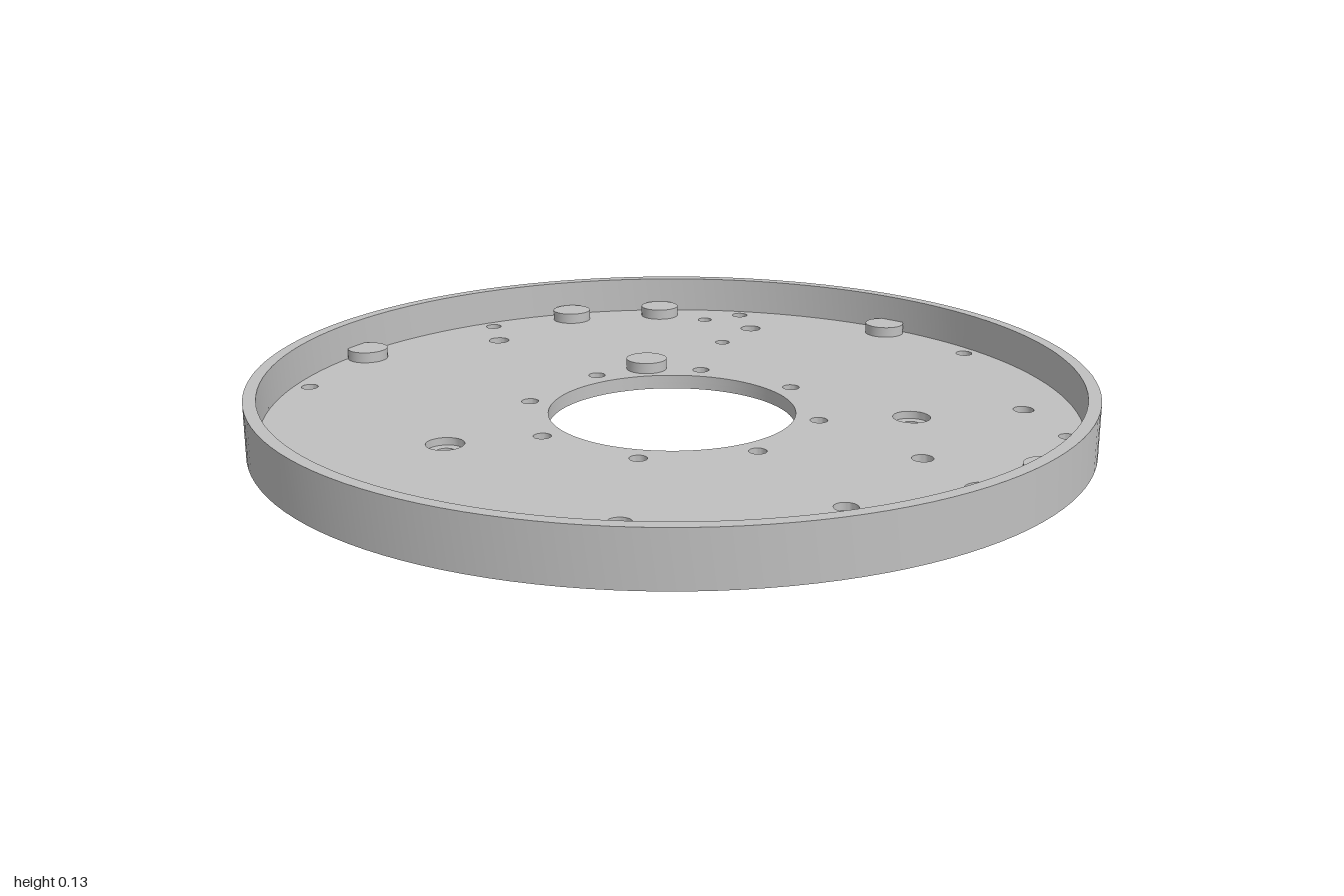
import * as THREE from 'three';
import { toCreasedNormals } from 'three/addons/utils/BufferGeometryUtils.js';

const HEIGHT = 0.128, FLOOR = 0.035, STEP = 0.017;
const OUTER = 1, INNER = 0.97, BORE = 0.297, SEGMENTS = 128;

// Points of a circle on the plate; shape y is the model's -z
function circle(x, z, r, n = 24) {
  return Array.from({ length: n }, (_, i) => {
    const a = (i / n) * Math.PI * 2;
    return new THREE.Vector2(x + r * Math.cos(a), -z + r * Math.sin(a));
  });
}

// Hole = [x, z, radius in lower layer, radius in upper layer]
function listHoles(pegs) {
  const holes = [];
  // Two rings of eight screw holes; two of the inner ones are recessed underneath
  for (let i = 0; i < 8; i++) {
    const a = ((i + 0.5) * Math.PI) / 4;
    const c = Math.cos(a), s = Math.sin(a);
    const recessed = i === 2 + 0 || i === 3;
    const isRecessed = recessed && c < 0 && s > 0;
    holes.push([0.355 * c, 0.355 * s, isRecessed ? 0.042 : 0.021, 0.021]);
    holes.push([0.93 * c, 0.93 * s, 0.021, 0.021]);
  }
  // Mirrored holes recessed from above
  for (const s of [-1, 1]) {
    holes.push([s * 0.551, 0.152, 0.022, 0.045]);
    holes.push([s * 0.551, 0.655, 0.022, 0.045]);
    holes.push([s * 0.354, -0.709, 0.02, 0.027]);
    holes.push([s * 0.235, 0.703, 0.02, 0.027]);
  }
  // Single holes
  holes.push([0.246, -0.826, 0.019, 0.019], [0.246, -0.58, 0.019, 0.019]);
  holes.push([0.834, 0.144, 0.025, 0.025], [0.484, 0.441, 0.025, 0.025]);
  // Blind holes under the pegs
  for (const [x, z] of pegs) holes.push([x, z, 0.025, 0.025]);
  return holes;
}

export function createModel() {
  const group = new THREE.Group();
  const grey = new THREE.MeshStandardMaterial({ color: 0xc0c0c0 });
  grey.name = 'plain grey';

  function add(name, geometry, x = 0, y = 0, z = 0) {
    const mesh = new THREE.Mesh(toCreasedNormals(geometry, Math.PI / 6), grey);
    mesh.name = name;
    mesh.position.set(x, y, z);
    group.add(mesh);
  }

  const pegs = [[0, -0.369]];
  for (const s of [-1, 1]) {
    pegs.push([s * 0.128, -0.904], [s * 0.711, -0.6], [s * 0.711, 0.598]);
  }
  const holes = listHoles(pegs);

  // Floor plate in two layers, so the recesses have steps
  function addLayer(name, y, thickness, radiusIndex) {
    const shape = new THREE.Shape(circle(0, 0, INNER, SEGMENTS));
    shape.holes.push(new THREE.Path(circle(0, 0, BORE, 96)));
    for (const hole of holes) {
      shape.holes.push(new THREE.Path(circle(hole[0], hole[1], hole[radiusIndex])));
    }
    const geometry = new THREE.ExtrudeGeometry(shape, { depth: thickness, bevelEnabled: false });
    geometry.rotateX(-Math.PI / 2);
    add(name, geometry, 0, y, 0);
  }
  addLayer('floorLower', 0, STEP, 2);
  addLayer('floorUpper', STEP, FLOOR - STEP, 3);

  // Raised rim around the floor
  const profile = [[INNER, 0], [OUTER, 0], [OUTER, HEIGHT], [INNER, HEIGHT], [INNER, 0]];
  add('rim', new THREE.LatheGeometry(profile.map(([r, y]) => new THREE.Vector2(r, y)), SEGMENTS));

  // Low round pegs on the floor
  const pegHeight = 0.027;
  for (const [x, z] of pegs) {
    add('peg', new THREE.CylinderGeometry(0.052, 0.052, pegHeight, 32), x, FLOOR + pegHeight / 2, z);
  }

  return group;
}
